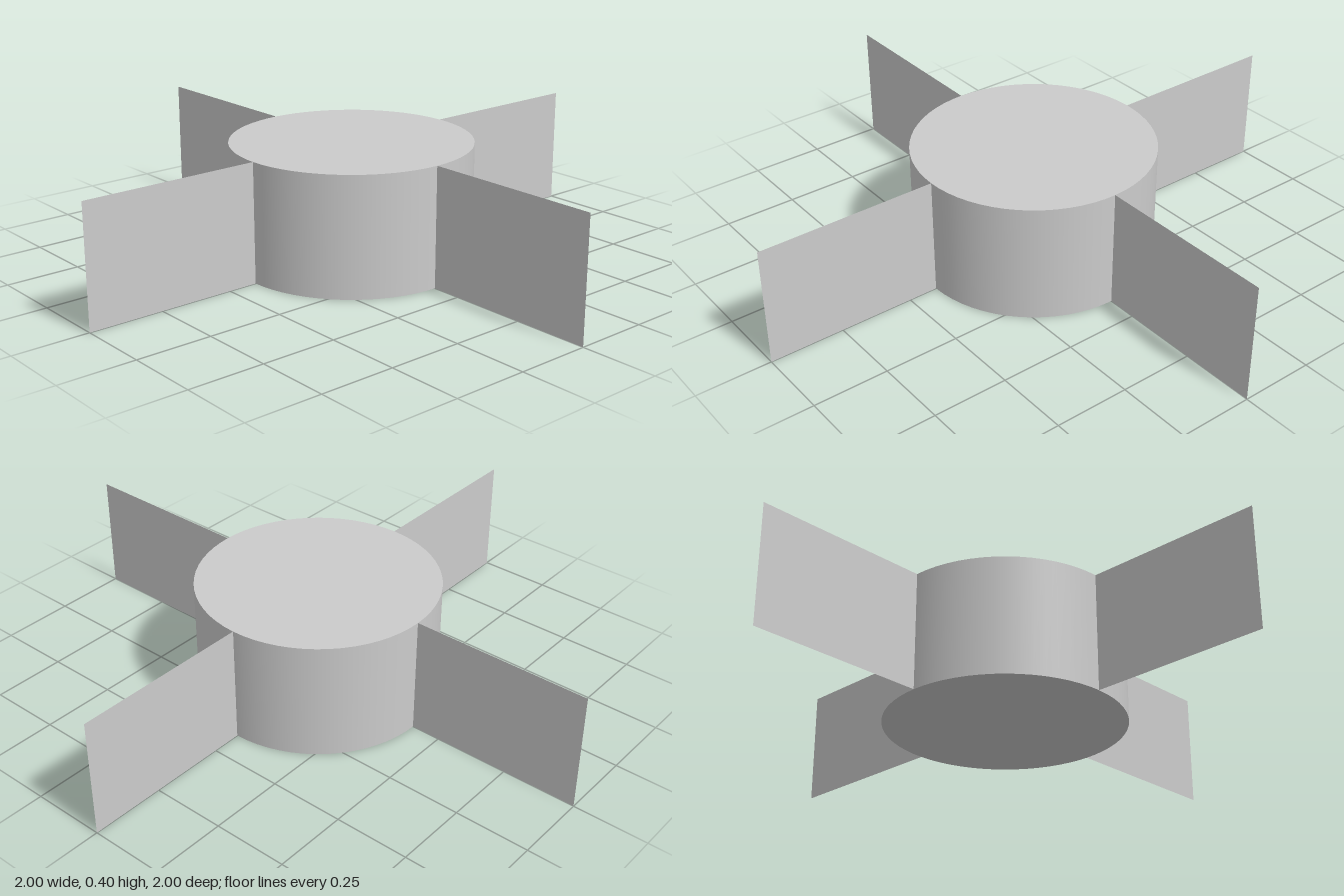
import * as THREE from 'three';

const HUB_RADIUS = 0.4;
const HEIGHT = 0.4;
const TIP_RADIUS = 1;
const BLADE_COUNT = 4;

export function createModel() {
  const model = new THREE.Group();
  model.name = 'paddleWheel';

  // Solid round hub
  const hub = new THREE.Mesh(
    new THREE.CylinderGeometry(HUB_RADIUS, HUB_RADIUS, HEIGHT, 64),
    new THREE.MeshStandardMaterial({ color: 0xcccccc })
  );
  hub.name = 'hub';
  hub.position.y = HEIGHT / 2;
  model.add(hub);

  // Paper-thin upright blades around the hub
  const bladeMaterial = new THREE.MeshStandardMaterial({ color: 0xcccccc, side: THREE.DoubleSide });
  const bladeGeometry = new THREE.PlaneGeometry(TIP_RADIUS - HUB_RADIUS, HEIGHT);
  bladeGeometry.translate((TIP_RADIUS + HUB_RADIUS) / 2, HEIGHT / 2, 0);
  for (let i = 0; i < BLADE_COUNT; i++) {
    const blade = new THREE.Mesh(bladeGeometry, bladeMaterial);
    blade.name = `blade${i + 1}`;
    blade.rotation.y = (i * Math.PI * 2) / BLADE_COUNT;
    model.add(blade);
  }

  return model;
}
